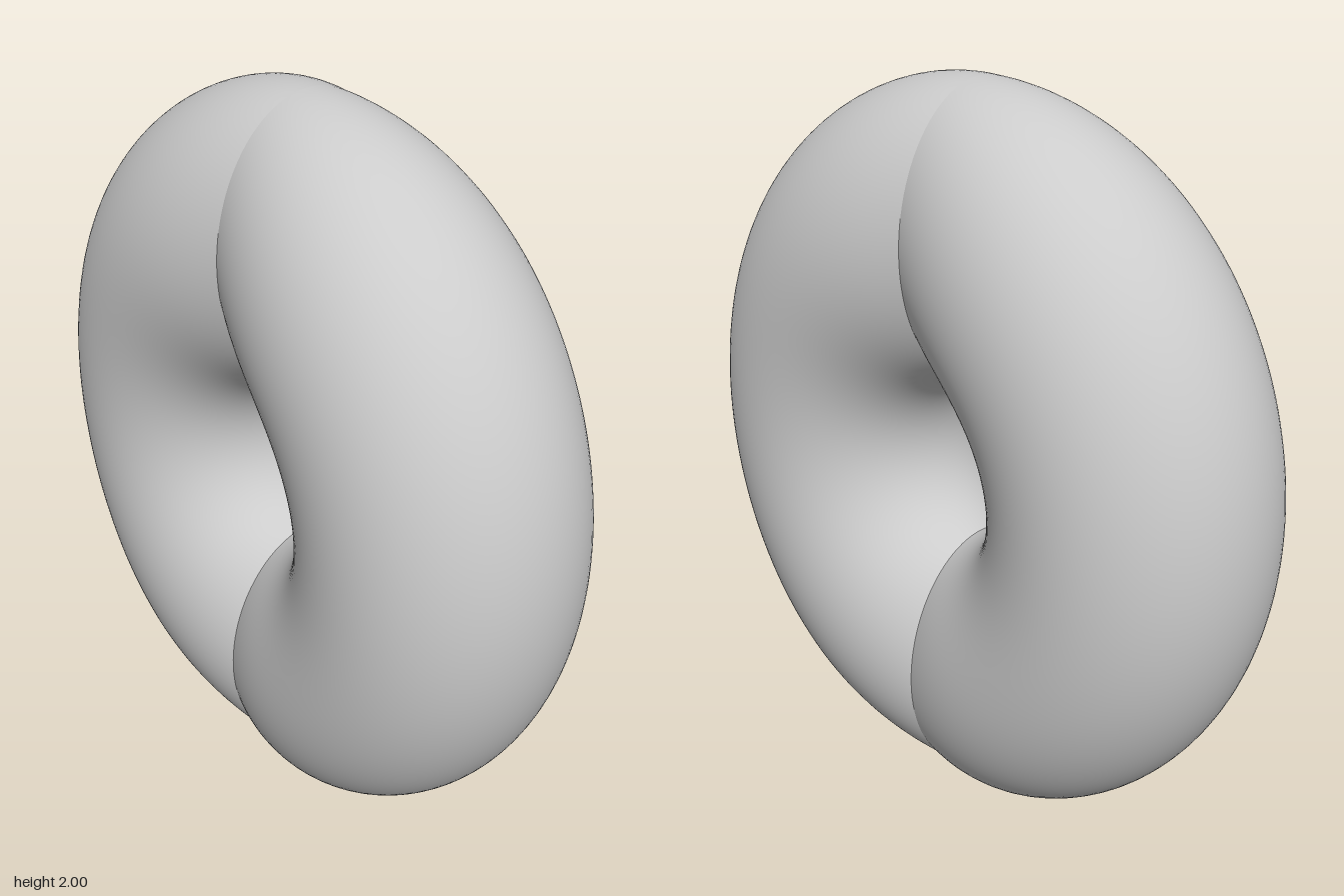
import * as THREE from 'three';

const ARC = 128;   // steps from the bottom seam to the top seam
const RING = 96;   // points around each cross-section

// One half of the ring: oval sections swept from bottom to top, flattening toward the seams
function halfRingGeometry() {
  const positions = [];
  const index = [];
  const holeRadius = 0.25;
  const holeShift = 0.085;
  const holeSpan = Math.acos(holeShift / holeRadius);

  for (let i = 0; i <= ARC; i++) {
    const u = (i / ARC) * 2 - 1;
    const t = (u * Math.PI) / 2;
    const c = Math.abs(Math.cos(t));

    // Outer rim is an ellipse, the hole edge an off-centre arc that meets its twin in a point
    const outer = new THREE.Vector2(0.89 * c, Math.sin(t));
    const inner = new THREE.Vector2(
      holeRadius * Math.cos(u * holeSpan) - holeShift,
      holeRadius * Math.sin(u * holeSpan)
    );
    const mid = outer.clone().add(inner).multiplyScalar(0.5);
    const reach = outer.clone().sub(inner).multiplyScalar(0.5);
    const depth = 0.27 + 0.08 * (1 - Math.pow(1 - c, 2.7));

    for (let j = 0; j < RING; j++) {
      const a = (j / RING) * Math.PI * 2;
      positions.push(
        mid.x + reach.x * Math.cos(a),
        1 + mid.y + reach.y * Math.cos(a),
        depth * Math.sin(a)
      );
    }
  }

  for (let i = 0; i < ARC; i++) {
    for (let j = 0; j < RING; j++) {
      const k = (j + 1) % RING;
      const p = i * RING;
      const q = p + RING;
      index.push(p + j, q + j, p + k, q + j, q + k, p + k);
    }
  }

  const geometry = new THREE.BufferGeometry();
  geometry.setAttribute('position', new THREE.Float32BufferAttribute(positions, 3));
  geometry.setIndex(index);
  geometry.computeVertexNormals();
  return geometry;
}

export function createModel() {
  const group = new THREE.Group();
  group.name = 'creasedRing';
  const material = new THREE.MeshStandardMaterial({ color: 0xcccccc });
  const geometry = halfRingGeometry();

  // The two halves meet in a crease at x = 0
  const left = new THREE.Mesh(geometry, material);
  left.name = 'leftHalf';
  const right = new THREE.Mesh(geometry, material);
  right.name = 'rightHalf';
  right.rotation.y = Math.PI;

  group.add(left, right);
  return group;
}
